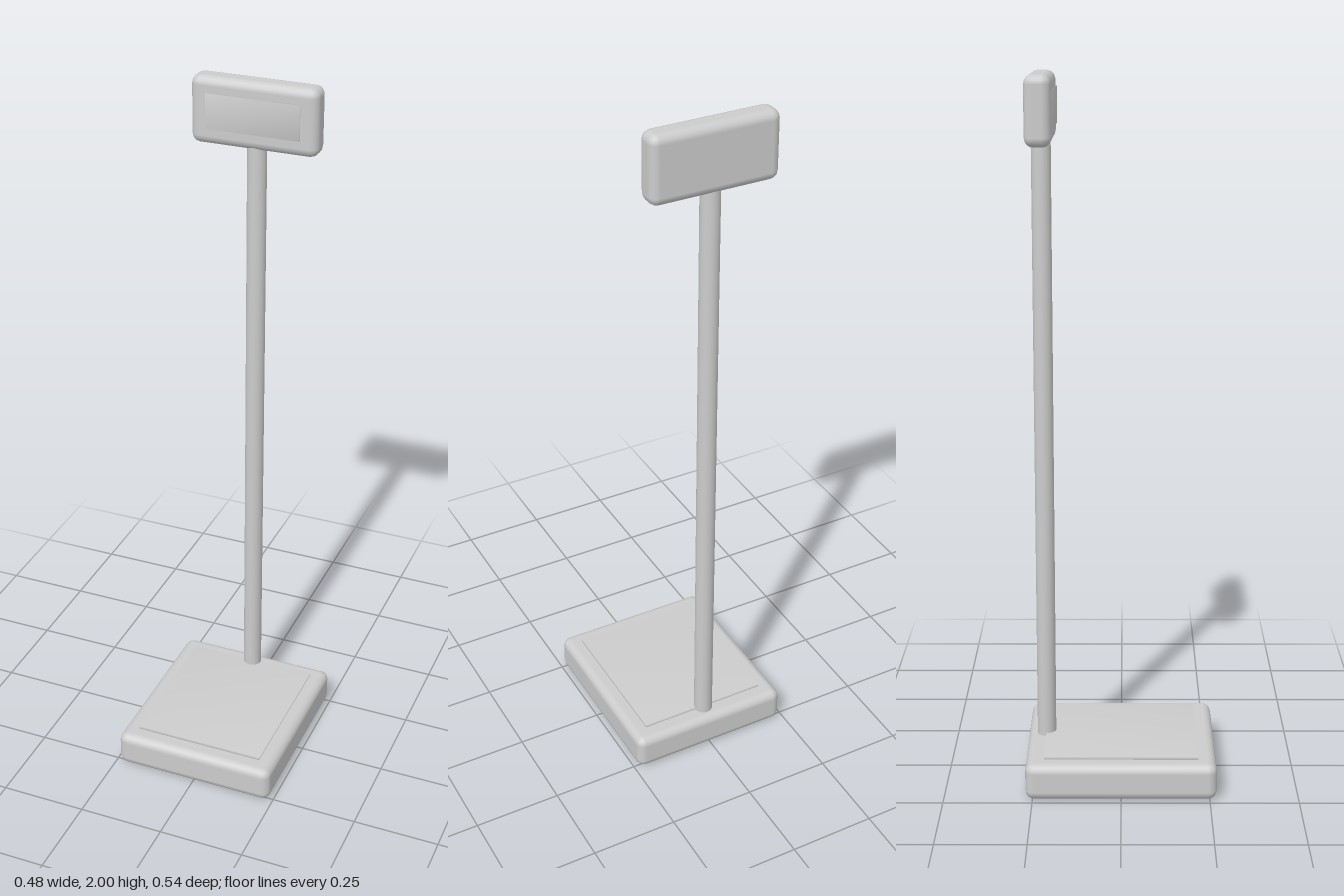
import * as THREE from 'three';
import { mergeVertices } from 'three/addons/utils/BufferGeometryUtils.js';
import { RoundedBoxGeometry } from 'three/addons/geometries/RoundedBoxGeometry.js';

// Weld corners so the normals blend softly across the edges
function soften(geometry) {
  geometry.deleteAttribute('normal');
  geometry.deleteAttribute('uv');
  const welded = mergeVertices(geometry, 1e-4);
  welded.computeVertexNormals();
  return welded;
}

export function createModel() {
  const model = new THREE.Group();
  model.name = 'weighingScale';
  const grey = new THREE.MeshStandardMaterial({ color: 0xcccccc });
  grey.name = 'light grey';

  function add(name, geometry, x, y, z) {
    const mesh = new THREE.Mesh(geometry, grey);
    mesh.name = name;
    mesh.position.set(x, y, z);
    model.add(mesh);
  }

  // Platform: rounded base with a thin standing plate
  add('base', new RoundedBoxGeometry(0.48, 0.105, 0.54, 2, 0.025), 0, 0.0525, 0);
  add('standingPlate', soften(new THREE.BoxGeometry(0.384, 0.02, 0.436)), 0, 0.104, 0);

  // Column at the back of the platform
  add('column', soften(new THREE.CylinderGeometry(0.027, 0.027, 1.74, 20)), 0, 0.96, -0.217);

  // Display head with a raised screen on its front
  add('displayHead', new RoundedBoxGeometry(0.362, 0.188, 0.072, 2, 0.025), 0, 1.906, -0.218);
  add('screen', soften(new THREE.BoxGeometry(0.266, 0.098, 0.012)), 0, 1.908, -0.183);

  return model;
}
